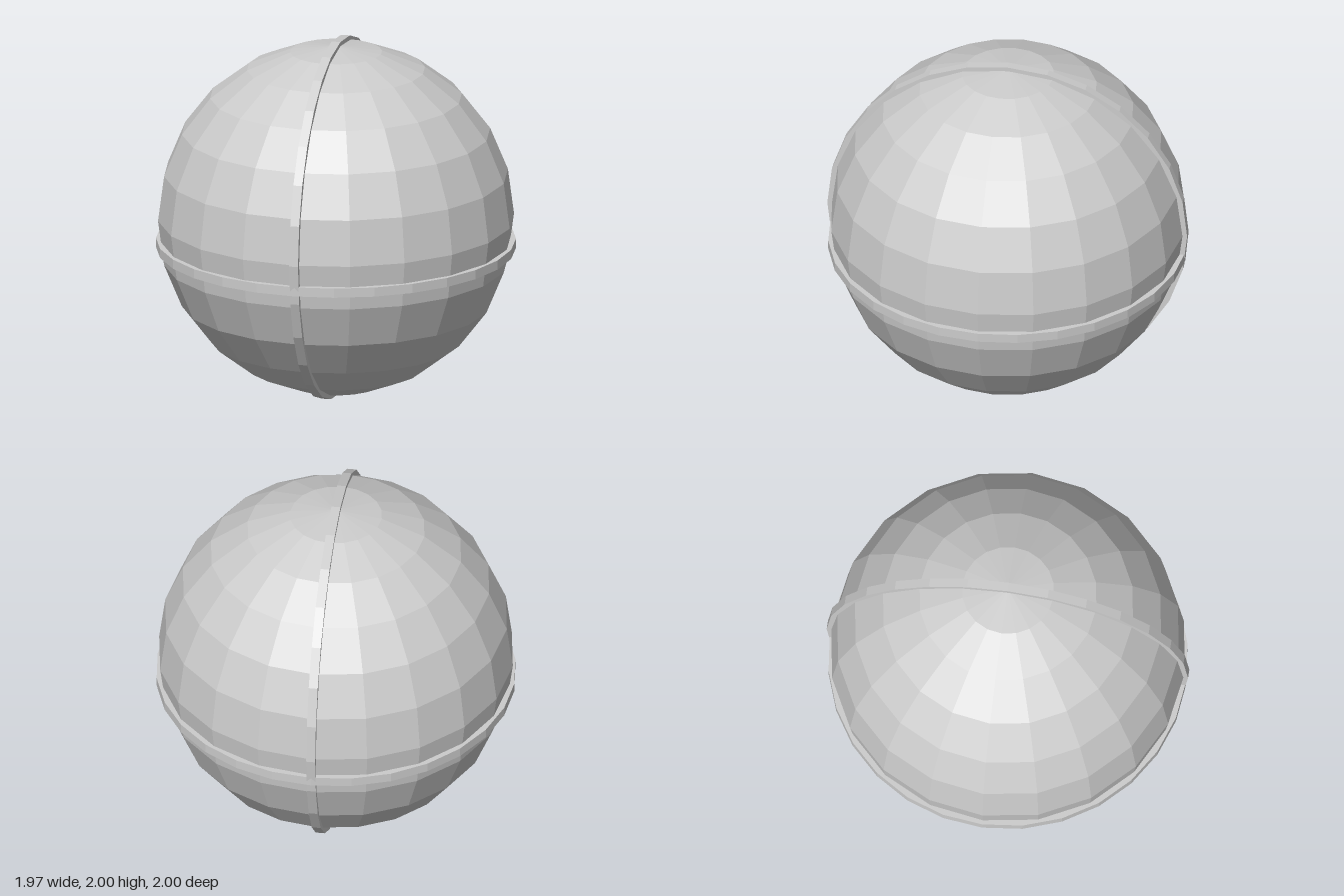
import * as THREE from 'three';

const material = new THREE.MeshStandardMaterial({ color: 0xcccccc, flatShading: true });

// Hoop around the y axis with a rectangular cross-section
function hoop(name, inner, outer, width) {
  const h = width / 2;
  const section = [[inner, -h], [outer, -h], [outer, h], [inner, h], [inner, -h]]
    .map(([x, y]) => new THREE.Vector2(x, y));
  const mesh = new THREE.Mesh(new THREE.LatheGeometry(section, 28), material);
  mesh.name = name;
  return mesh;
}

export function createModel() {
  const group = new THREE.Group();
  group.name = 'bandedBall';

  // Faceted ball
  const ball = new THREE.Mesh(new THREE.SphereGeometry(0.978, 20, 12), material);
  ball.name = 'ball';
  ball.position.y = 1;

  // Upright band running over the top, front, bottom and back
  const uprightBand = hoop('uprightBand', 0.93, 1, 0.05);
  uprightBand.rotation.z = Math.PI / 2;
  uprightBand.position.y = 1;

  // Level band just below the middle
  const levelBand = hoop('levelBand', 0.91, 0.986, 0.052);
  levelBand.position.y = 0.853;

  group.add(ball, uprightBand, levelBand);
  return group;
}
